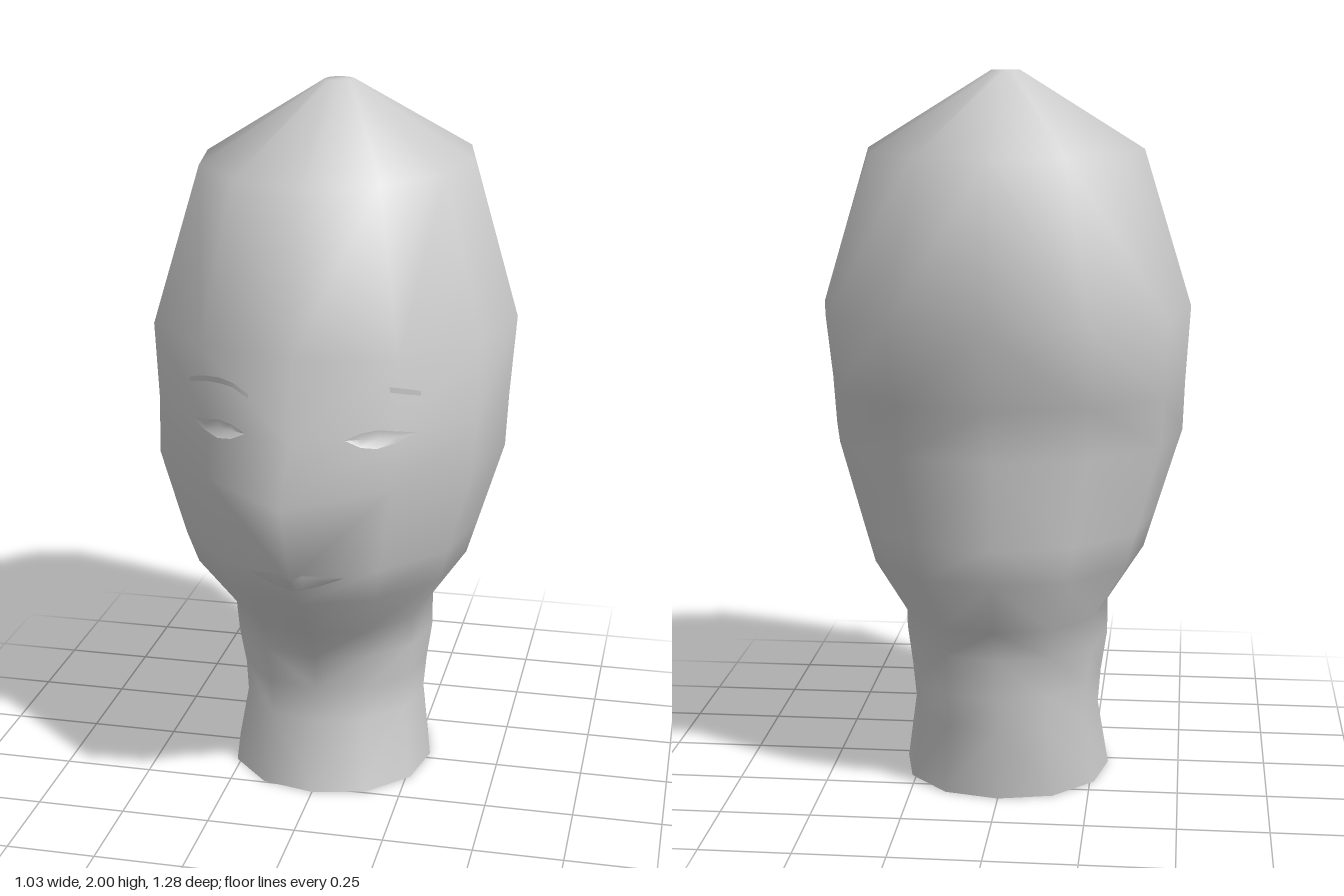
import * as THREE from 'three';

const SIDES = 12;

// y, half width, back z, front z of the oval, z of the face's centre line
const RINGS = [
  [0.00, 0.295, -0.337, 0.278, 0.278],
  [0.20, 0.265, -0.352, 0.223, 0.223],
  [0.30, 0.273, -0.366, 0.220, 0.220],
  [0.41, 0.290, -0.360, 0.240, 0.240],
  [0.51, 0.290, -0.427, 0.300, 0.312],
  [0.66, 0.390, -0.490, 0.420, 0.445],
  [0.76, 0.421, -0.507, 0.460, 0.525],
  [1.00, 0.495, -0.520, 0.485, 0.640],
  [1.14, 0.500, -0.533, 0.455, 0.520],
  [1.36, 0.513, -0.638, 0.485, 0.485],
  [1.79, 0.380, -0.562, 0.373, 0.373],
  [2.00, 0.040, -0.140, -0.045, -0.045],
];

function meshGeometry(positions, index) {
  const g = new THREE.BufferGeometry();
  g.setAttribute('position', new THREE.Float32BufferAttribute(positions, 3));
  g.setIndex(index);
  g.computeVertexNormals();
  return g;
}

// Head and neck as one smooth skin lofted through the rings, open at the base
function headGeometry() {
  const pos = [], index = [];
  for (const [y, w, back, front, centre] of RINGS) {
    const mid = (front + back) / 2, depth = (front - back) / 2;
    for (let i = 0; i < SIDES; i++) {
      const a = (i / SIDES) * Math.PI * 2;
      const full = i % 3 ? 1.025 : 1; // diagonals slightly fuller than an ellipse
      const z = i === 0 ? centre : mid + depth * Math.cos(a) * full;
      pos.push(w * Math.sin(a) * full, y, z);
    }
  }
  for (let j = 0; j < RINGS.length - 1; j++) {
    for (let i = 0; i < SIDES; i++) {
      const n = (i + 1) % SIDES;
      const a = j * SIDES + i, b = j * SIDES + n;
      const c = b + SIDES, d = a + SIDES;
      // mirror the quad diagonals across the face
      if (i < SIDES / 2) index.push(a, b, c, a, c, d);
      else index.push(a, b, d, b, c, d);
    }
  }
  // Crown cap
  const top = (RINGS.length - 1) * SIDES;
  pos.push(0, 2, -0.0925);
  for (let i = 0; i < SIDES; i++) index.push(top + i, top + ((i + 1) % SIDES), top + SIDES);
  return meshGeometry(pos, index);
}

export function createModel() {
  const group = new THREE.Group();
  const grey = new THREE.MeshStandardMaterial({ color: 0xcccccc, side: THREE.DoubleSide });
  grey.name = 'plain grey';

  const head = new THREE.Mesh(headGeometry(), grey);
  head.name = 'headAndNeck';
  group.add(head);
  head.updateMatrixWorld(true);

  // Depth of the face at a point seen from the front
  const ray = new THREE.Raycaster();
  const faceZ = (x, y) => {
    ray.set(new THREE.Vector3(x, y, 3), new THREE.Vector3(0, 0, -1));
    const hit = ray.intersectObject(head)[0];
    return hit ? hit.point.z : 0;
  };

  // Thin patch laid on the face; columns of [x, lower y, upper y]
  function patch(name, columns, mirror = 1, lift = 0.007) {
    const pos = [], index = [];
    const cols = mirror < 0 ? columns.map(([x, lo, hi]) => [-x, lo, hi]).reverse() : columns;
    cols.forEach(([x, lo, hi], i) => {
      for (const y of [lo, (lo + hi) / 2, hi]) pos.push(x, y, faceZ(x, y) + lift);
      if (i === 0) return;
      const a = (i - 1) * 3, b = i * 3;
      for (let k = 0; k < 2; k++) index.push(a + k, b + k, b + k + 1, a + k, b + k + 1, a + k + 1);
    });
    const mesh = new THREE.Mesh(meshGeometry(pos, index), grey);
    mesh.name = name;
    group.add(mesh);
  }

  // Eyes
  const eye = [[0.135, 1.142, 1.143], [0.175, 1.124, 1.160], [0.215, 1.119, 1.166],
    [0.26, 1.126, 1.158], [0.305, 1.143, 1.144]];
  patch('leftEye', eye);
  patch('rightEye', eye, -1);

  // Eyebrows: the left one only emerges at its outer end
  const outerBrow = [[0.245, 1.270, 1.285], [0.28, 1.258, 1.274], [0.315, 1.245, 1.258]];
  const innerBrow = [[0.12, 1.245, 1.257], [0.165, 1.268, 1.281], [0.205, 1.272, 1.288]];
  patch('leftEyebrow', outerBrow);
  patch('rightEyebrow', [...innerBrow, ...outerBrow], -1);

  // Lips
  const halfLip = [[0.03, 0.722, 0.775], [0.075, 0.731, 0.766], [0.127, 0.750, 0.751]];
  const lips = [...halfLip.map(([x, lo, hi]) => [-x, lo, hi]).reverse(), [0, 0.721, 0.765], ...halfLip];
  patch('lips', lips);

  return group;
}
